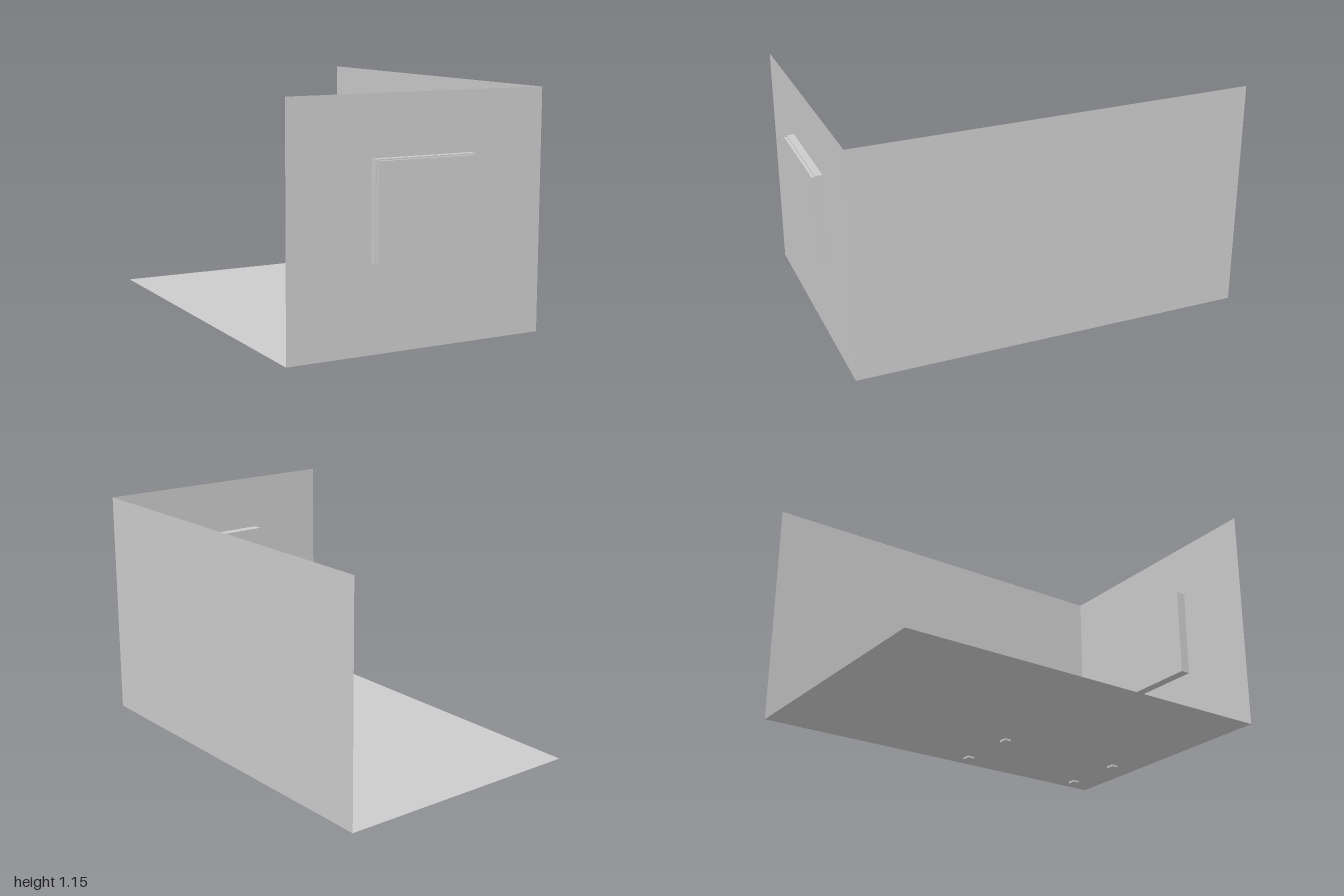
import * as THREE from 'three';

const grey = new THREE.MeshStandardMaterial({ color: 0xcccccc });
const thin = new THREE.MeshStandardMaterial({ color: 0xcccccc, side: THREE.DoubleSide });

// Box given by its extents on each axis
function box(parent, name, [x0, x1], [y0, y1], [z0, z1]) {
  const mesh = new THREE.Mesh(new THREE.BoxGeometry(x1 - x0, y1 - y0, z1 - z0), grey);
  mesh.position.set((x0 + x1) / 2, (y0 + y1) / 2, (z0 + z1) / 2);
  mesh.name = name;
  parent.add(mesh);
  return mesh;
}

function plane(parent, name, w, h, position, rotation) {
  const mesh = new THREE.Mesh(new THREE.PlaneGeometry(w, h), thin);
  mesh.position.set(...position);
  mesh.rotation.set(...rotation);
  mesh.name = name;
  parent.add(mesh);
}

export function createModel() {
  const room = new THREE.Group();
  room.name = 'officeRoom';

  // Open room: floor and two walls
  plane(room, 'floor', 1.3, 1.95, [0, 0.01, -0.025], [-Math.PI / 2, 0, 0]);
  plane(room, 'leftWall', 1.95, 1.14, [0.65, 0.58, -0.025], [0, -Math.PI / 2, 0]);
  plane(room, 'frontWall', 1.3, 1.14, [0, 0.58, 0.95], [0, Math.PI, 0]);

  // Window block set through the front wall, with a slightly smaller outer face
  const win = new THREE.Group();
  win.name = 'window';
  box(win, 'windowFrame', [-0.24, 0.268], [0.415, 0.872], [0.9, 0.985]);
  box(win, 'windowPane', [-0.235, 0.263], [0.418, 0.866], [0.985, 1]);
  room.add(win);

  // Desk, turned slightly; everything on it shares its local frame
  const desk = new THREE.Group();
  desk.name = 'desk';
  desk.position.set(0.392, 0, 0.457);
  desk.rotation.y = 0.012;
  room.add(desk);
  box(desk, 'deskTop', [-0.1925, 0.1925], [0.368, 0.4], [-0.3815, 0.3815]);
  for (const sx of [-1, 1]) for (const sz of [-1, 1]) {
    const leg = box(desk, 'deskLeg', [-0.021, 0.021], [0, 0.37], [-0.019, 0.019]);
    leg.position.x = sx * 0.163;
    leg.position.z = sz * 0.347;
  }

  // Monitor: thin screen, sloping neck and flat base
  const monitor = new THREE.Group();
  monitor.name = 'monitor';
  desk.add(monitor);
  box(monitor, 'screen', [0.163, 0.169], [0.46, 0.627], [-0.206, 0.204]);
  box(monitor, 'monitorBase', [0.084, 0.188], [0.4, 0.42], [-0.072, 0.063]);
  const side = new THREE.Shape([[0.115, 0.42], [0.165, 0.42], [0.169, 0.466], [0.162, 0.466]]
    .map(p => new THREE.Vector2(...p)));
  const neck = new THREE.Mesh(new THREE.ExtrudeGeometry(side, { depth: 0.085, bevelEnabled: false }), grey);
  neck.position.z = -0.042;
  neck.name = 'monitorNeck';
  monitor.add(neck);

  // Keyboard with rows of small keys
  const keyboard = new THREE.Group();
  keyboard.name = 'keyboard';
  keyboard.position.set(-0.06, 0.4, -0.014);
  desk.add(keyboard);
  const rows = 4, cols = 11, pitch = 0.0193;
  for (let r = 0; r < rows; r++) for (let c = 0; c < cols; c++) {
    const key = box(keyboard, 'key', [-0.0075, 0.0075], [0, 0.006], [-0.0075, 0.0075]);
    key.position.x = (r - (rows - 1) / 2) * pitch;
    key.position.z = (c - (cols - 1) / 2) * pitch;
  }

  // Tiny upright markers above the desk
  for (const y of [0.432, 0.46, 0.488])
    box(desk, 'marker', [-0.009, -0.007], [y, y + 0.012], [0.006, 0.008]);

  return room;
}
